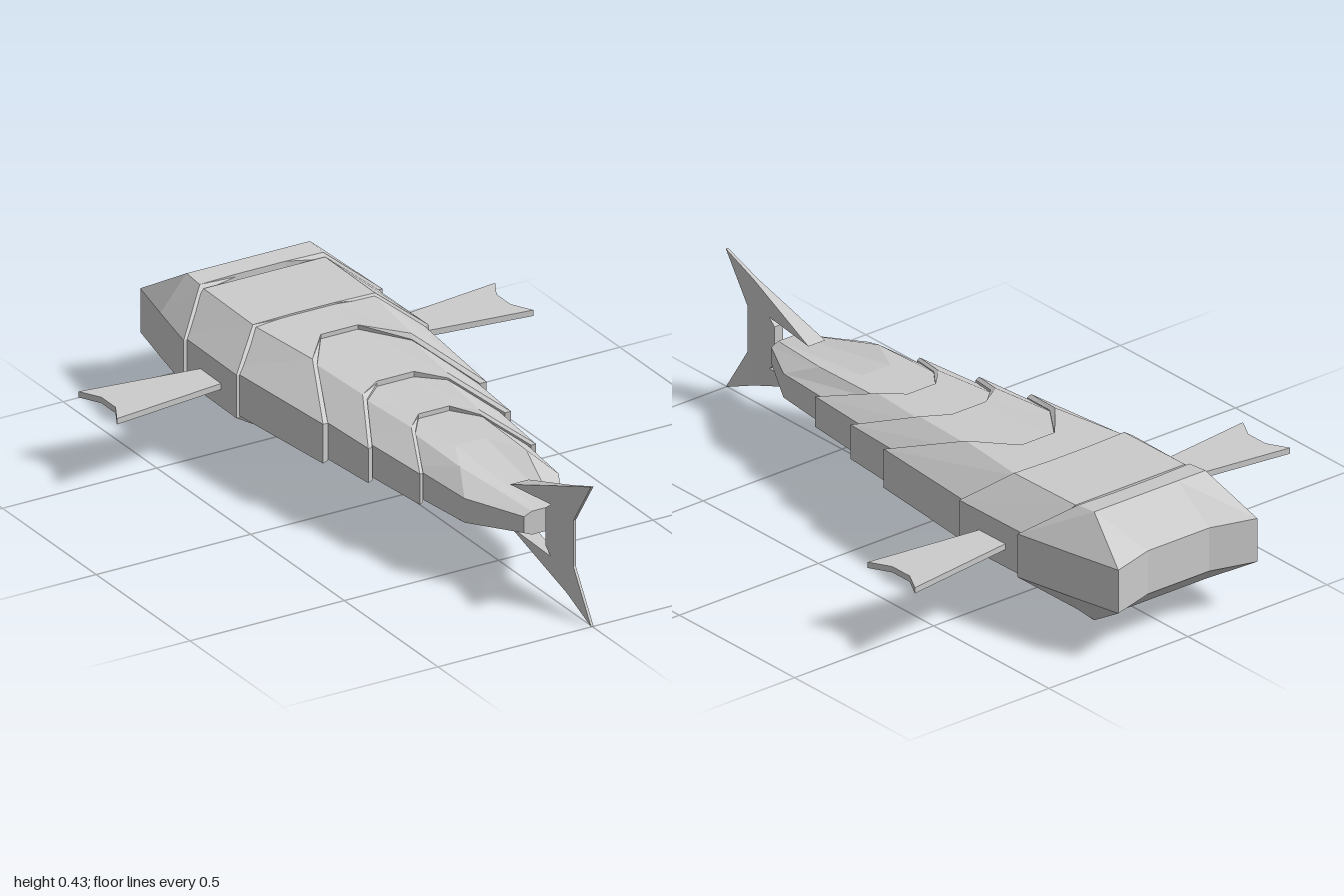
import * as THREE from 'three';

const MID = 0.222; // height of the body's axis
const mat = new THREE.MeshStandardMaterial({ color: 0xcccccc, flatShading: true, side: THREE.DoubleSide });

// Cross-section of 12 points from three [x, halfHeight, z] columns: inner, shoulder, side
function ring(cols) {
  const back = [...cols].reverse();
  const part = (list, sx, sy) => list.map(([x, h, z]) => new THREE.Vector3(sx * x, MID + sy * h, z));
  return [...part(cols, 1, 1), ...part(back, 1, -1), ...part(cols, -1, -1), ...part(back, -1, 1)];
}

// Inset lip that closes the trailing edge of an armour plate
function lip([inner, shoulder, side]) {
  return [
    [inner[0], inner[1] * 0.95, inner[2]],
    [shoulder[0] * 0.96, shoulder[1] * 0.92, shoulder[2] + 0.015],
    [side[0] * 0.93, side[1] * 0.95, side[2] - 0.005],
  ];
}

// Faceted solid lofted through the sections, running from the head towards +z
function segment(name, sections) {
  const rings = sections.map(ring);
  const pos = [];
  const tri = (a, b, c) => {
    const area = b.clone().sub(a).cross(c.clone().sub(a)).length();
    if (area > 1e-8) for (const p of [a, b, c]) pos.push(p.x, p.y, p.z);
  };
  const quad = (a, b, c, d) => { tri(a, b, c); tri(a, c, d); };
  for (let k = 0; k + 1 < rings.length; k++) {
    for (let j = 0; j < 12; j++) {
      const n = (j + 1) % 12;
      quad(rings[k][j], rings[k + 1][j], rings[k + 1][n], rings[k][n]);
    }
  }
  // end caps as vertical strips
  const up = [9, 10, 11, 0, 1, 2], low = [8, 7, 6, 5, 4, 3];
  const f = rings[0], r = rings[rings.length - 1];
  for (let i = 0; i < 5; i++) {
    quad(f[up[i]], f[up[i + 1]], f[low[i + 1]], f[low[i]]);
    quad(r[low[i]], r[low[i + 1]], r[up[i + 1]], r[up[i]]);
  }
  const geo = new THREE.BufferGeometry();
  geo.setAttribute('position', new THREE.Float32BufferAttribute(pos, 3));
  geo.computeVertexNormals();
  const mesh = new THREE.Mesh(geo, mat);
  mesh.name = name;
  return mesh;
}

// Plate with a scalloped trailing edge
const plate = (name, front, rear) => segment(name, [front, rear, lip(rear)]);

function outline(points) {
  return new THREE.Shape(points.map(([x, y]) => new THREE.Vector2(x, y)));
}

export function createModel() {
  const model = new THREE.Group();
  model.name = 'armouredSwimmer';

  // Blunt head with a notched front edge
  const headRear = [[0.08, 0.162, -0.77], [0.2, 0.162, -0.765], [0.322, 0.067, -0.65]];
  model.add(segment('head', [
    [[0.11, 0.067, -0.96], [0.25, 0.067, -1], [0.25, 0.067, -1]],
    [[0.1, 0.168, -0.835], [0.2, 0.168, -0.835], [0.285, 0.067, -0.835]],
    headRear,
    lip(headRear),
  ]));

  // Overlapping body plates
  model.add(plate('shoulderPlate',
    [[0.07, 0.155, -0.75], [0.197, 0.155, -0.75], [0.308, 0.066, -0.7]],
    [[0.07, 0.152, -0.49], [0.198, 0.152, -0.485], [0.312, 0.066, -0.385]]));
  model.add(plate('bodyPlate1',
    [[0.07, 0.147, -0.5], [0.195, 0.147, -0.5], [0.306, 0.064, -0.45]],
    [[0.06, 0.143, -0.35], [0.16, 0.141, -0.23], [0.265, 0.06, 0]]));
  model.add(plate('bodyPlate2',
    [[0.06, 0.13, -0.37], [0.16, 0.13, -0.3], [0.25, 0.057, -0.1]],
    [[0.06, 0.122, -0.05], [0.137, 0.12, 0], [0.231, 0.053, 0.185]]));
  model.add(plate('bodyPlate3',
    [[0.055, 0.106, -0.07], [0.135, 0.106, -0.05], [0.212, 0.05, 0.1]],
    [[0.05, 0.102, 0.155], [0.11, 0.1, 0.215], [0.188, 0.047, 0.39]]));

  // Tapering tail stem
  model.add(segment('tailStem', [
    [[0.05, 0.088, 0.14], [0.11, 0.088, 0.17], [0.175, 0.042, 0.32]],
    [[0.05, 0.084, 0.35], [0.107, 0.082, 0.47], [0.153, 0.037, 0.57]],
    [[0.015, 0.036, 0.735], [0.035, 0.036, 0.735], [0.06, 0.025, 0.735]],
  ]));

  // Flat side fins with a forked tip
  for (const s of [1, -1]) {
    const shape = outline([[0.26, -0.575], [0.675, -0.63], [0.64, -0.565],
      [0.64, -0.49], [0.675, -0.425], [0.26, -0.475]].map(([x, z]) => [s * x, -z]));
    const geo = new THREE.ExtrudeGeometry(shape, { depth: 0.018, bevelEnabled: false });
    geo.rotateX(-Math.PI / 2).translate(0, 0.21, 0);
    const fin = new THREE.Mesh(geo, mat);
    fin.name = s > 0 ? 'leftFin' : 'rightFin';
    model.add(fin);
  }

  // Upright forked tail fin, thick where it grips the stem and thin at the rear
  const tail = outline([[0.61, 0.288], [0.875, 0.385], [1, 0.432], [0.905, 0.29], [0.905, 0.15],
    [1, 0.003], [0.875, 0.057], [0.61, 0.16], [0.8, 0.14], [0.775, 0.165], [0.775, 0.28], [0.8, 0.3]]);
  const geo = new THREE.ExtrudeGeometry(tail, { depth: 2, bevelEnabled: false });
  geo.translate(0, 0, -1).rotateY(-Math.PI / 2);
  const p = geo.attributes.position;
  for (let i = 0; i < p.count; i++) {
    const half = Math.max(0.004, 0.03 - 0.088 * (p.getZ(i) - 0.61));
    p.setX(i, Math.sign(p.getX(i)) * half);
  }
  geo.computeVertexNormals();
  const tailFin = new THREE.Mesh(geo, mat);
  tailFin.name = 'tailFin';
  model.add(tailFin);

  return model;
}
